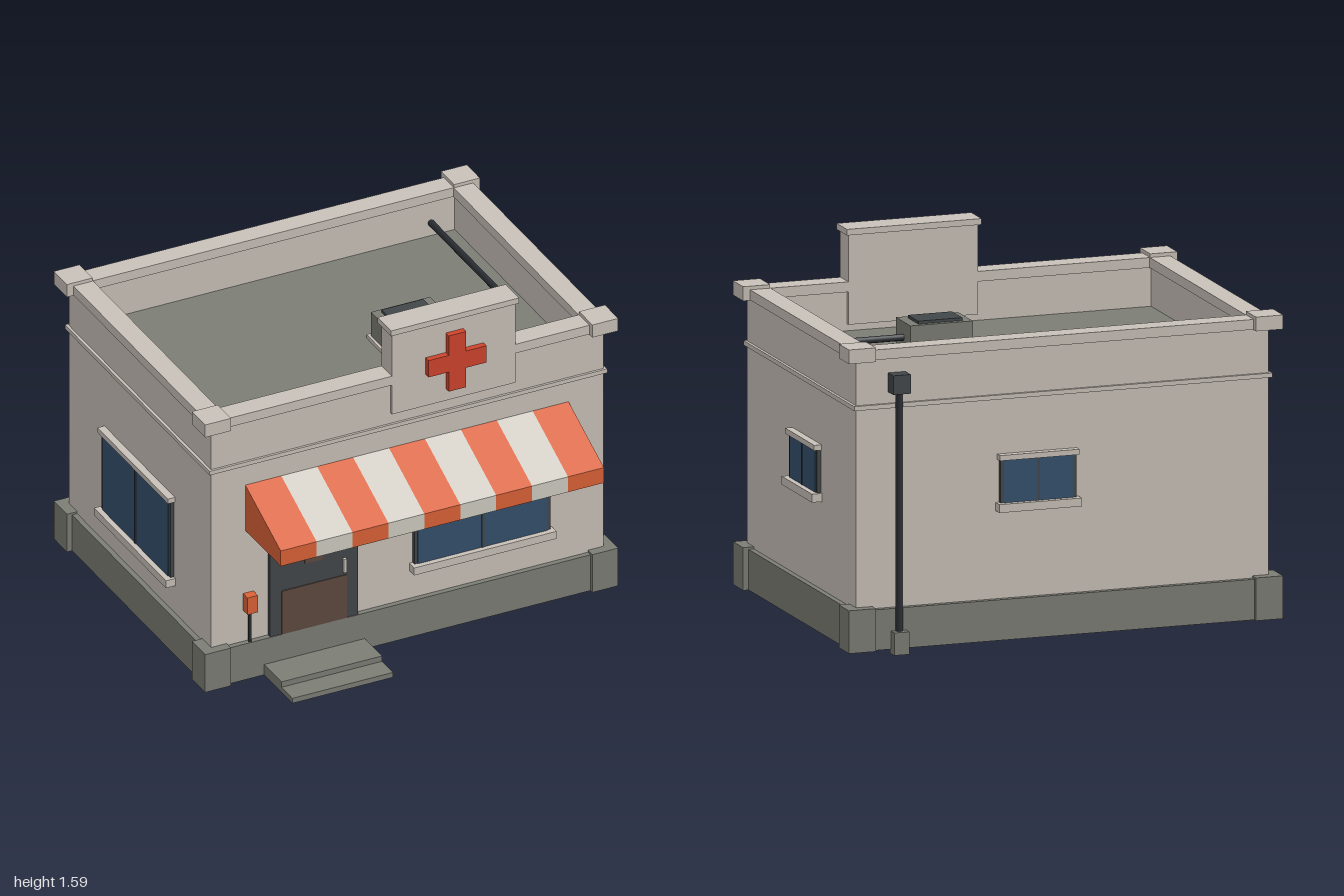
import * as THREE from 'three';

const mat = (name, color) => {
  const m = new THREE.MeshStandardMaterial({ color });
  m.name = name;
  return m;
};

export function createModel() {
  const M = {
    wall: mat('plaster', 0xc9c1b9),
    stone: mat('grey stone', 0x7c7d75),
    orange: mat('awning orange', 0xdb6238),
    cream: mat('awning cream', 0xd0ccc2),
    red: mat('cross red', 0xcf452d),
    glass: mat('blue glass', 0x34506c),
    dark: mat('dark frame', 0x42474a),
    metal: mat('black metal', 0x2b2e33),
    brown: mat('door brown', 0x5e4a3f),
  };
  const model = new THREE.Group();
  model.name = 'clinic';

  const add = (name, geo, material, parent = model) => {
    const mesh = new THREE.Mesh(geo, material);
    mesh.name = name;
    parent.add(mesh);
    return mesh;
  };
  // Box given by its limits on each axis
  const box = (name, material, [x0, x1], [y0, y1], [z0, z1], parent = model) => {
    const mesh = add(name, new THREE.BoxGeometry(x1 - x0, y1 - y0, z1 - z0), material, parent);
    mesh.position.set((x0 + x1) / 2, (y0 + y1) / 2, (z0 + z1) / 2);
    return mesh;
  };
  // Rectangular ring lying flat, from outer and inner limits [x, zBack, zFront]
  const ring = (name, material, o, i, y0, y1) => {
    const rect = (P, [x, b, f]) => {
      const p = new P();
      p.moveTo(-x, -f); p.lineTo(x, -f); p.lineTo(x, -b); p.lineTo(-x, -b); p.closePath();
      return p;
    };
    const s = rect(THREE.Shape, o);
    s.holes.push(rect(THREE.Path, i));
    const g = new THREE.ExtrudeGeometry(s, { depth: y1 - y0, bevelEnabled: false });
    g.rotateX(-Math.PI / 2);
    return (add(name, g, material).position.y = y0);
  };
  // Round bar between two points
  const bar = (name, material, a, b, r, sides = 8, parent = model) => {
    const A = new THREE.Vector3(...a), B = new THREE.Vector3(...b);
    const mesh = add(name, new THREE.CylinderGeometry(r, r, A.distanceTo(B), sides), material, parent);
    mesh.position.copy(A).add(B).multiplyScalar(0.5);
    mesh.quaternion.setFromUnitVectors(new THREE.Vector3(0, 1, 0), B.sub(A).normalize());
    return mesh;
  };

  // Base and walls
  box('base', M.stone, [-0.975, 0.975], [0.02, 0.2], [-0.845, 0.57]);
  box('walls', M.wall, [-0.95, 0.95], [0.2, 1.12], [-0.82, 0.545]);
  box('roof', M.stone, [-0.89, 0.89], [1.12, 1.13], [-0.76, 0.48]);
  ring('parapet', M.wall, [0.95, -0.82, 0.545], [0.885, -0.755, 0.475], 1.12, 1.31);
  ring('parapetCap', M.wall, [0.968, -0.838, 0.56], [0.873, -0.742, 0.46], 1.305, 1.35);
  ring('trimBand', M.wall, [0.963, -0.833, 0.556], [0.94, -0.81, 0.535], 1.085, 1.105);
  for (const s of [-1, 1]) {
    const x = s < 0 ? [-1, -0.875] : [0.875, 1];
    for (const z of [[-0.866, -0.74], [0.46, 0.588]]) {
      box('baseCorner', M.stone, x, [0.02, 0.21], z);
      box('capCorner', M.wall, x, [1.303, 1.366], z);
    }
  }

  // Raised sign with cross
  box('signPanel', M.wall, [-0.082, 0.515], [1.16, 1.56], [0.46, 0.563]);
  box('signCap', M.wall, [-0.092, 0.528], [1.56, 1.587], [0.443, 0.572]);
  const cross = new THREE.Shape();
  const a = 0.042, b = 0.14;
  [[-a, -b], [a, -b], [a, -a], [b, -a], [b, a], [a, a], [a, b], [-a, b], [-a, a], [-b, a], [-b, -a], [-a, -a]]
    .forEach(([x, y], i) => (i ? cross.lineTo(x, y) : cross.moveTo(x, y)));
  add('cross', new THREE.ExtrudeGeometry(cross, { depth: 0.032, bevelEnabled: false }), M.red)
    .position.set(0.22, 1.36, 0.56);

  // Striped awning
  const awning = new THREE.Group();
  awning.name = 'awning';
  model.add(awning);
  const side = new THREE.Shape([[0.54, 0.755], [0.885, 0.755], [0.885, 0.832], [0.54, 0.985]]
    .map(p => new THREE.Vector2(...p)));
  const w = 1.565 / 9;
  for (let i = 0; i < 9; i++) {
    const g = new THREE.ExtrudeGeometry(side, { depth: w, bevelEnabled: false });
    g.rotateY(-Math.PI / 2);
    add('awningStripe', g, i % 2 ? M.cream : M.orange, awning).position.x = -0.784 + (i + 1) * w;
  }
  for (const x of [-0.735, 0.73]) {
    bar('awningStrut', M.metal, [x, 0.715, 0.56], [x, 0.765, 0.645], 0.01, 8, awning);
    box('strutPlate', M.metal, [x - 0.015, x + 0.015], [0.71, 0.755], [0.54, 0.56], awning);
  }

  // Window facing +z in its own frame: dark frame, two panes, sill and lintel
  const makeWindow = (name, width, y0, y1, x, z, turn) => {
    const g = new THREE.Group();
    g.name = name;
    const h = width / 2;
    box('frame', M.dark, [-h, h], [y0, y1], [-0.01, 0.018], g);
    for (const s of [-1, 1]) {
      const px = s < 0 ? [-h + 0.016, -0.005] : [0.005, h - 0.016];
      box('pane', M.glass, px, [y0, y1], [0.016, 0.022], g);
    }
    box('mullion', M.dark, [-0.006, 0.006], [y0, y1], [0.015, 0.025], g);
    box('sill', M.wall, [-h - 0.015, h + 0.015], [y0 - 0.037, y0], [-0.01, 0.047], g);
    box('lintel', M.wall, [-h - 0.008, h + 0.008], [y1, y1 + 0.024], [-0.01, 0.034], g);
    g.position.set(x, 0, z);
    g.rotation.y = turn;
    model.add(g);
  };
  makeWindow('frontWindow', 0.66, 0.377, 0.757, 0.355, 0.545, 0);
  makeWindow('rightWindow', 0.66, 0.377, 0.757, -0.95, -0.14, -Math.PI / 2);
  makeWindow('leftWindow', 0.35, 0.627, 0.817, 0.95, -0.205, Math.PI / 2);
  makeWindow('backWindow', 0.35, 0.627, 0.817, 0.117, -0.82, Math.PI);

  // Door and steps
  box('door', M.dark, [-0.675, -0.25], [0.2, 0.8], [0.54, 0.566]);
  box('doorPanel', M.brown, [-0.62, -0.305], [0.2, 0.417], [0.565, 0.57]);
  box('doorPlate', M.brown, [-0.507, -0.42], [0.525, 0.577], [0.565, 0.57]);
  box('doorHandle', M.wall, [-0.324, -0.309], [0.435, 0.503], [0.565, 0.58]);
  box('upperStep', M.stone, [-0.705, -0.218], [0.044, 0.072], [0.56, 0.735]);
  box('lowerStep', M.stone, [-0.705, -0.218], [0.02, 0.045], [0.56, 0.84]);
  box('stepFoot', M.metal, [-0.675, -0.25], [0.003, 0.021], [0.526, 0.566]);

  // Mailbox and hanging round sign
  bar('mailboxPost', M.metal, [-0.77, 0.19, 0.56], [-0.77, 0.36, 0.56], 0.007);
  box('mailbox', M.orange, [-0.795, -0.745], [0.355, 0.44], [0.545, 0.588]);
  bar('hangingRod', M.metal, [-0.19, 0.64, 0.556], [-0.19, 0.78, 0.556], 0.005);
  bar('hangingDisc', M.metal, [-0.19, 0.635, 0.543], [-0.19, 0.635, 0.57], 0.034, 12);

  // Roof vent with pipe
  box('ventCurb', M.wall, [0.132, 0.445], [1.128, 1.148], [-0.108, 0.104]);
  box('ventBox', M.stone, [0.145, 0.432], [1.14, 1.265], [-0.092, 0.09]);
  box('ventGrille', M.dark, [0.185, 0.388], [1.26, 1.278], [-0.07, 0.06]);
  const path = new THREE.CurvePath();
  const v = (x, z) => new THREE.Vector3(x, 1.195, z);
  path.add(new THREE.LineCurve3(v(0.42, 0), v(0.75, 0)));
  path.add(new THREE.QuadraticBezierCurve3(v(0.75, 0), v(0.77, 0), v(0.77, -0.02)));
  path.add(new THREE.LineCurve3(v(0.77, -0.02), v(0.77, -0.83)));
  add('roofPipe', new THREE.TubeGeometry(path, 80, 0.015, 8), M.metal);

  // Downspout
  box('drainBox', M.dark, [0.722, 0.802], [1.155, 1.24], [-0.885, -0.815]);
  bar('downspout', M.metal, [0.762, 0.09, -0.848], [0.762, 1.16, -0.848], 0.017);
  box('downspoutFoot', M.stone, [0.728, 0.798], [0, 0.1], [-0.885, -0.83]);
  return model;
}
